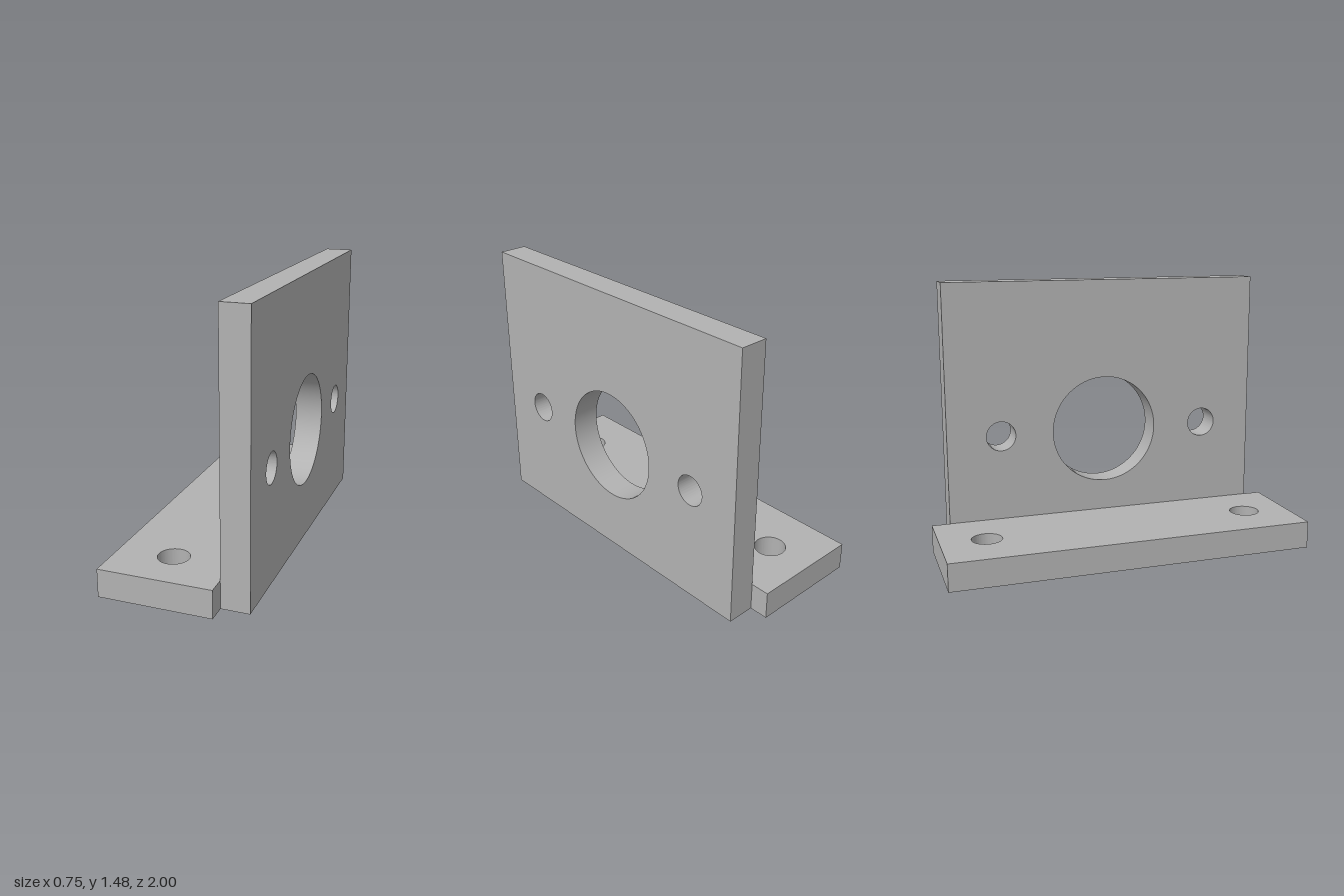
import * as THREE from 'three';
import { toCreasedNormals } from 'three/addons/utils/BufferGeometryUtils.js';

// Flat rectangular plate with round holes, thickness along +z
function drilledPlate(x0, y0, x1, y1, thickness, holes) {
  const shape = new THREE.Shape();
  shape.moveTo(x0, y0);
  shape.lineTo(x1, y0);
  shape.lineTo(x1, y1);
  shape.lineTo(x0, y1);
  shape.closePath();
  for (const [x, y, r] of holes) {
    const hole = new THREE.Path();
    hole.absarc(x, y, r, 0, Math.PI * 2, true);
    shape.holes.push(hole);
  }
  const geometry = new THREE.ExtrudeGeometry(shape, {
    depth: thickness, bevelEnabled: false, curveSegments: 64,
  });
  return toCreasedNormals(geometry, Math.PI / 6);
}

export function createModel() {
  const model = new THREE.Group();
  model.name = 'mountingBracket';

  const grey = new THREE.MeshStandardMaterial({ color: 0xb2b2b2 });
  grey.name = 'grey';

  const thickness = 0.15;
  const boltRadius = 0.0825;

  // Foot with two bolt holes
  const foot = drilledPlate(-0.375, -1, 0.225, 1, thickness,
    [-0.75, 0.75].map((z) => [-0.08, z, boltRadius]));
  foot.rotateX(-Math.PI / 2);
  const basePlate = new THREE.Mesh(foot, grey);
  basePlate.name = 'basePlate';

  // Upright with a large central bore and a bolt hole either side
  const wall = drilledPlate(-0.9, 0, 0.9, 1.475, thickness, [
    [0, 0.625, 0.3025],
    [-0.6, 0.625, boltRadius],
    [0.6, 0.625, boltRadius],
  ]);
  wall.rotateY(Math.PI / 2);
  wall.translate(0.225, 0, 0);
  const uprightPlate = new THREE.Mesh(wall, grey);
  uprightPlate.name = 'uprightPlate';

  model.add(basePlate, uprightPlate);
  return model;
}
